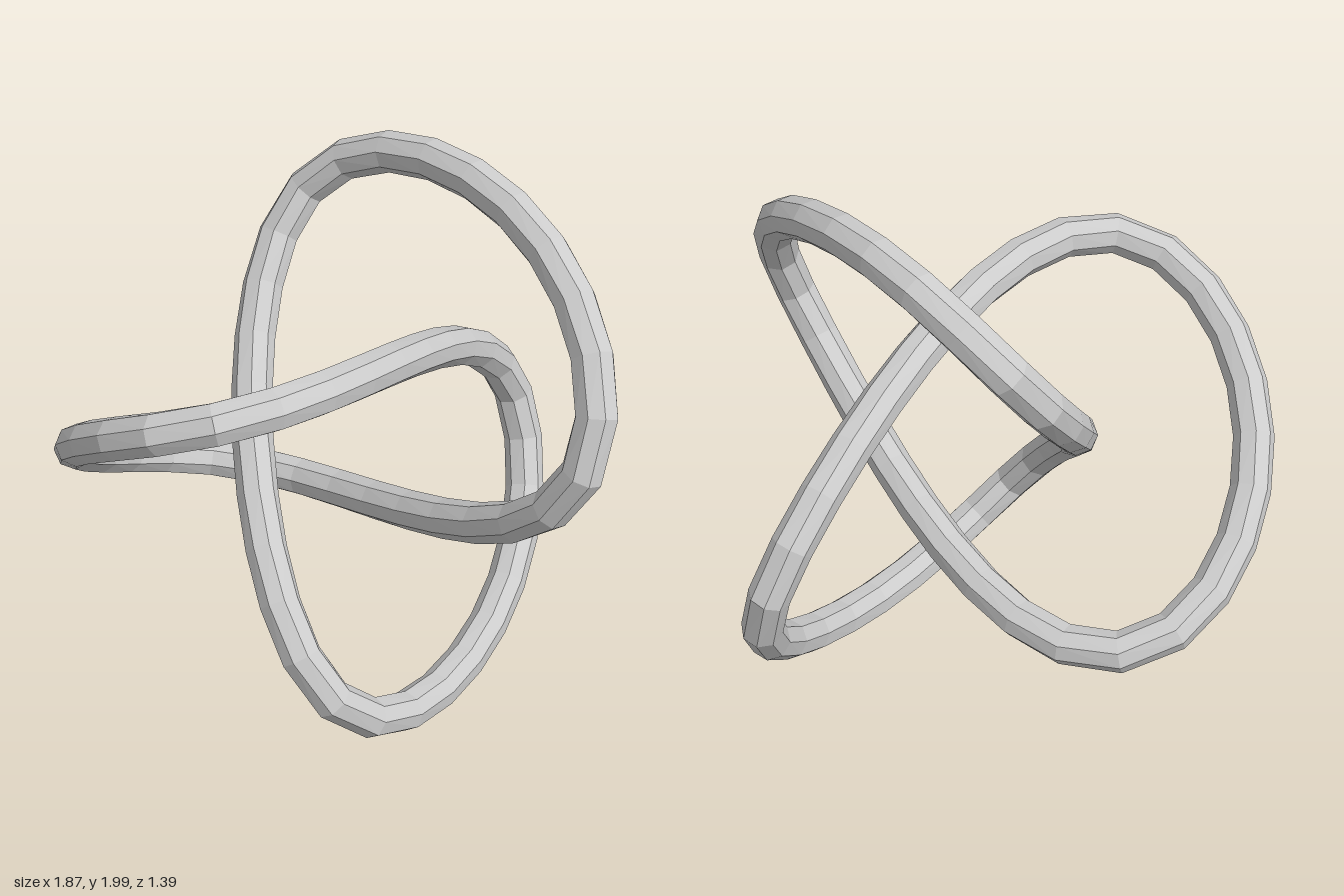
import * as THREE from 'three';

// Centre line of a trefoil knot: two turns about z, three waves in depth
class TrefoilCurve extends THREE.Curve {
  getPoint(u, target = new THREE.Vector3()) {
    const t = u * Math.PI * 2;
    const a = 0.315, b = 0.695;
    return target.set(
      0.145 - a * Math.cos(t) - b * Math.cos(2 * t),
      1 + b * Math.sin(2 * t) - a * Math.sin(t),
      0.608 * (Math.sin(3 * t) - 0.1 * Math.sin(6 * t))
    );
  }
}

export function createModel() {
  const group = new THREE.Group();
  group.name = 'trefoilKnot';

  // Eight-sided closed tube
  const geometry = new THREE.TubeGeometry(new TrefoilCurve(), 60, 0.074, 8, true);
  const material = new THREE.MeshStandardMaterial({ color: 0xcccccc, flatShading: true });
  const tube = new THREE.Mesh(geometry, material);
  tube.name = 'knotTube';
  group.add(tube);

  return group;
}
